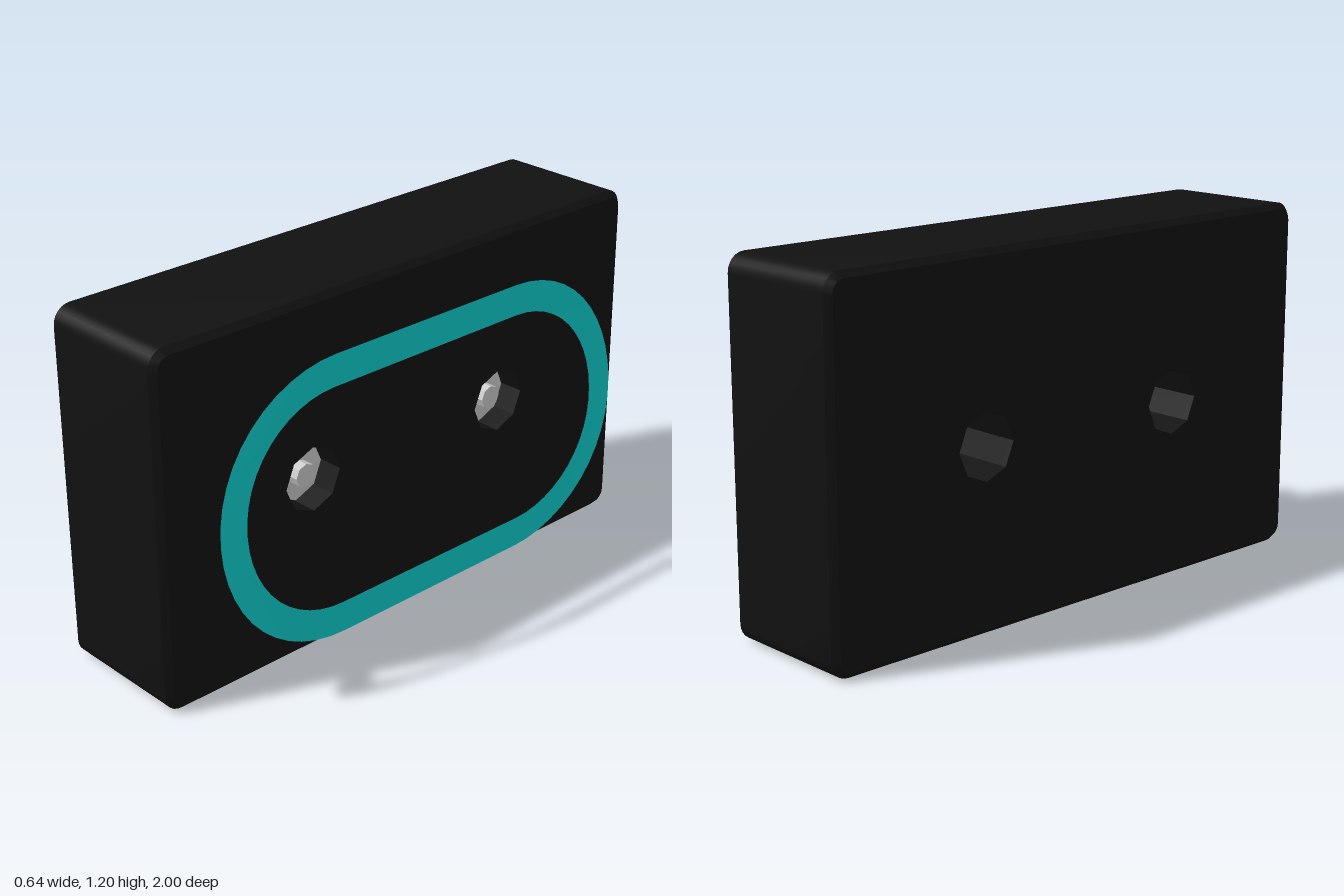
import * as THREE from 'three';
import { toCreasedNormals } from 'three/addons/utils/BufferGeometryUtils.js';

const MID_Y = 0.6, HOLE_Z = 0.41, HOLE_R = 0.11;

// Rounded rectangle drawn in a plane; a full radius makes a stadium
function roundedOutline(PathType, cx, halfW, halfH, r) {
  const p = new PathType();
  const corners = [[1, -1, -0.5], [1, 1, 0], [-1, 1, 0.5], [-1, -1, 1]];
  for (const [sx, sy, a] of corners) {
    p.absarc(cx + sx * (halfW - r), MID_Y + sy * (halfH - r), r, a * Math.PI, (a + 0.5) * Math.PI, false);
  }
  p.closePath();
  return p;
}

// Block with chamfered rims and two straight octagonal through holes
function bodyGeometry() {
  const bevel = 0.02, x0 = -0.323, x1 = 0.163;
  const shape = roundedOutline(THREE.Shape, 0, 1, 0.6, 0.06);
  for (const s of [-1, 1]) {
    const pts = [];
    for (let i = 0; i < 8; i++) {
      const a = -i * Math.PI / 4;
      pts.push(new THREE.Vector2(s * HOLE_Z + HOLE_R * Math.cos(a), MID_Y + HOLE_R * Math.sin(a)));
    }
    shape.holes.push(new THREE.Path(pts));
  }
  const geo = new THREE.ExtrudeGeometry(shape, {
    depth: x1 - x0 - 2 * bevel, curveSegments: 3,
    bevelEnabled: true, bevelSegments: 1, bevelSize: bevel, bevelThickness: bevel, bevelOffset: -bevel,
  });
  // Keep the hole walls straight where the bevel would widen them
  const pos = geo.attributes.position;
  for (let i = 0; i < pos.count; i++) {
    const cx = Math.sign(pos.getX(i)) * HOLE_Z;
    const dx = pos.getX(i) - cx, dy = pos.getY(i) - MID_Y, d = Math.hypot(dx, dy);
    if (d < 0.2) pos.setXY(i, cx + dx * HOLE_R / d, MID_Y + dy * HOLE_R / d);
  }
  geo.translate(0, 0, x0 + bevel);
  geo.rotateY(Math.PI / 2);
  return toCreasedNormals(geo, 0.6);
}

// Thin stadium band, gently waved along its height
function bandGeometry() {
  const shape = roundedOutline(THREE.Shape, -0.04, 0.85, 0.468, 0.466);
  shape.holes.push(roundedOutline(THREE.Path, -0.04, 0.75, 0.362, 0.36));
  const geo = new THREE.ShapeGeometry(shape, 6);
  geo.rotateY(Math.PI / 2);
  const pos = geo.attributes.position;
  for (let i = 0; i < pos.count; i++) {
    pos.setX(i, 0.302 - 0.015 * Math.sin((pos.getY(i) - MID_Y) / 0.235));
  }
  geo.computeVertexNormals();
  return geo;
}

export function createModel() {
  const group = new THREE.Group();
  const black = new THREE.MeshStandardMaterial({ color: 0x111111 });
  const grey = new THREE.MeshStandardMaterial({ color: 0xcccccc, flatShading: true });
  const cyan = new THREE.MeshStandardMaterial({ color: 0x10d0d0, side: THREE.DoubleSide });

  const add = (name, geo, mat, parent = group) => {
    const mesh = new THREE.Mesh(geo, mat);
    mesh.name = name;
    parent.add(mesh);
    return mesh;
  };

  add('body', bodyGeometry(), black);
  add('band', bandGeometry(), cyan);

  // Recessed pins: an octagonal plug with a small raised centre
  const profile = [[0, -0.04], [0.105, -0.04], [0.105, 0.08], [0.04, 0.09], [0.04, 0.13], [0, 0.13]]
    .map(([r, h]) => new THREE.Vector2(r, h));
  for (const s of [1, -1]) {
    const pin = add(s > 0 ? 'frontPin' : 'backPin', new THREE.LatheGeometry(profile, 8), grey);
    pin.rotation.z = -Math.PI / 2;
    pin.position.set(0, MID_Y, s * HOLE_Z);
  }
  return group;
}
